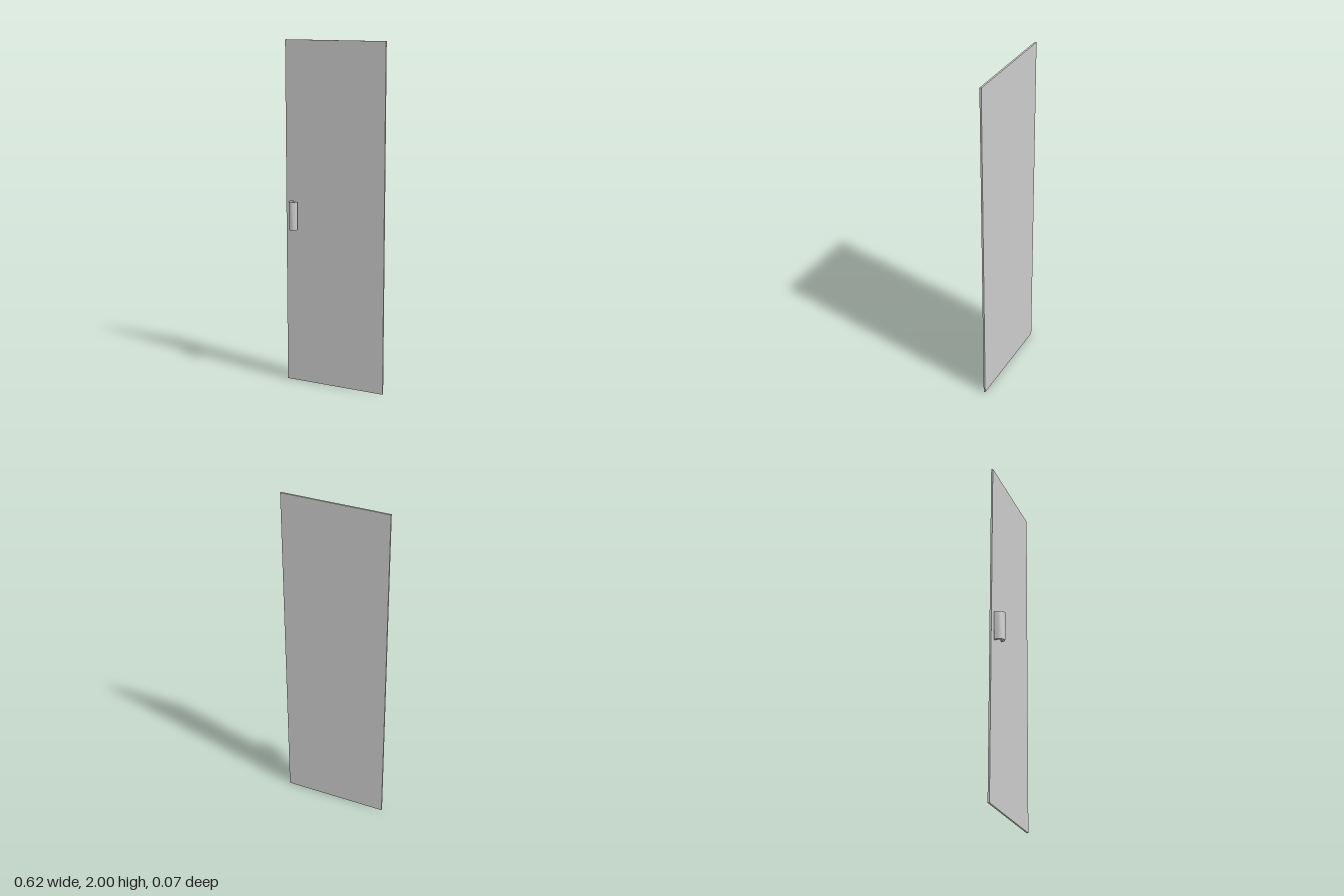
import * as THREE from 'three';
import { toCreasedNormals } from 'three/addons/utils/BufferGeometryUtils.js';

export function createModel() {
  const model = new THREE.Group();
  model.name = 'door';
  const material = new THREE.MeshStandardMaterial({ color: 0xcccccc });

  // Thin flat door panel
  const panel = new THREE.Mesh(new THREE.BoxGeometry(0.616, 2, 0.01), material);
  panel.name = 'doorPanel';
  panel.position.set(0, 1, -0.03);
  model.add(panel);

  // Hooked pull handle: J-shaped section (x, z), extruded along the height
  const outer = [[-0.276, -0.022], [-0.276, -0.001], [-0.271, 0.017], [-0.258, 0.03],
    [-0.244, 0.033], [-0.23, 0.023], [-0.222, 0.003]];
  const inner = [[-0.236, 0.003], [-0.24, 0.011], [-0.248, 0.014], [-0.257, 0.009],
    [-0.2615, -0.003], [-0.2615, -0.022]];
  const section = new THREE.Shape([...outer, ...inner].map(([x, z]) => new THREE.Vector2(x, z)));
  const height = 0.165;
  const extruded = new THREE.ExtrudeGeometry(section, { depth: height, bevelEnabled: false });
  extruded.rotateX(Math.PI / 2).translate(0, 0.92 + height, 0);
  const handle = new THREE.Mesh(toCreasedNormals(extruded, Math.PI / 3), material);
  handle.name = 'pullHandle';
  model.add(handle);

  return model;
}
